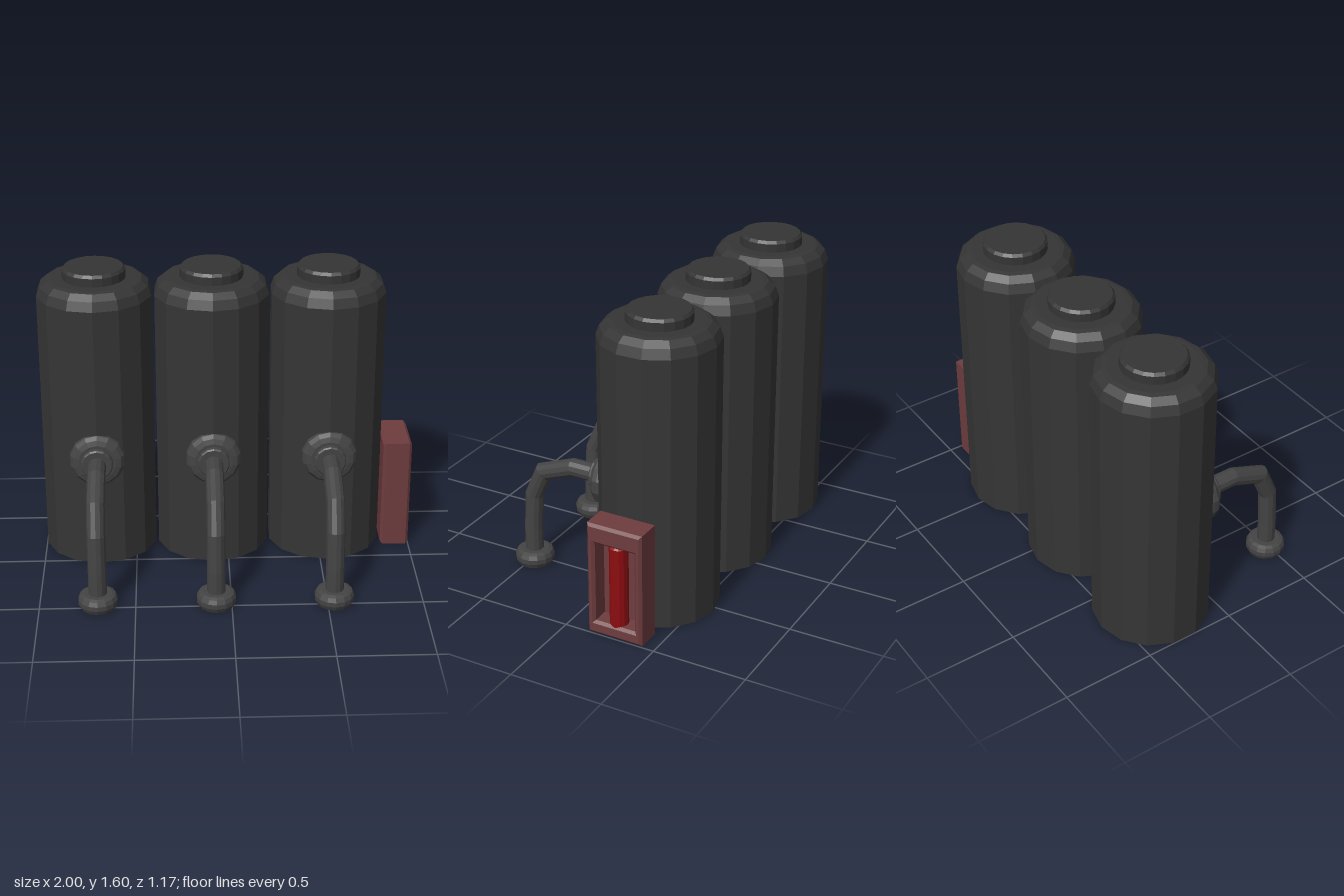
import * as THREE from 'three';

const mat = (color) => new THREE.MeshStandardMaterial({ color, flatShading: true, roughness: 0.8 });
const tankMat = mat(0x353535);
const pipeMat = mat(0x444444);
const boxMat = mat(0x6e3c3e);
const rodMat = mat(0x8c0d10);

function add(parent, name, geometry, material, x = 0, y = 0, z = 0) {
  const mesh = new THREE.Mesh(geometry, material);
  mesh.name = name;
  mesh.position.set(x, y, z);
  parent.add(mesh);
  return mesh;
}

// Turned solid from [radius, height] pairs, bottom to top
const lathe = (points, sides) =>
  new THREE.LatheGeometry(points.map(([r, h]) => new THREE.Vector2(r, h)), sides);

// Pipe with mitred bends along a path of [z, y] points in the x = 0 plane
function bentPipe(path, radius, sides) {
  const pts = path.map(([z, y]) => new THREE.Vector2(z, y));
  const positions = [];
  const indices = [];
  pts.forEach((p, i) => {
    const before = p.clone().sub(pts[Math.max(i - 1, 0)]).normalize();
    const after = pts[Math.min(i + 1, pts.length - 1)].clone().sub(p).normalize();
    const t = before.clone().add(after).normalize();
    const along = i === 0 ? after : before;
    const stretch = 1 / Math.max(t.dot(along), 0.5);
    for (let j = 0; j < sides; j++) {
      const a = (j / sides) * Math.PI * 2;
      const s = Math.sin(a) * radius * stretch;
      positions.push(Math.cos(a) * radius, p.y + t.x * s, p.x - t.y * s);
      if (i > 0) {
        const k = (j + 1) % sides;
        const lo = (i - 1) * sides;
        const hi = i * sides;
        indices.push(lo + j, lo + k, hi + j, lo + k, hi + k, hi + j);
      }
    }
  });
  const g = new THREE.BufferGeometry();
  g.setAttribute('position', new THREE.Float32BufferAttribute(positions, 3));
  g.setIndex(indices);
  g.computeVertexNormals();
  return g;
}

// One tank with its cap, wall flange, bent outlet pipe and foot
function makeTank() {
  const tank = new THREE.Group();
  const zc = -0.28;
  add(tank, 'tankBody', lathe([[0, 0], [0.308, 0], [0.308, 1.455], [0.29, 1.505], [0.255, 1.535], [0.23, 1.54], [0, 1.54]], 14), tankMat, 0, 0, zc);
  add(tank, 'tankCap', lathe([[0.167, 1.53], [0.167, 1.585], [0.155, 1.6], [0, 1.6]], 20), tankMat, 0, 0, zc);

  const flange = lathe([[0, -0.06], [0.14, -0.06], [0.148, 0.005], [0.145, 0.03], [0.128, 0.052], [0.1, 0.06], [0, 0.06]], 14);
  add(tank, 'wallFlange', flange.rotateX(Math.PI / 2), pipeMat, 0, 0.62, 0);
  const collar = lathe([[0.085, 0.05], [0.085, 0.085], [0.078, 0.092], [0, 0.092]], 14);
  add(tank, 'pipeCollar', collar.rotateX(Math.PI / 2), pipeMat, 0, 0.62, 0);

  add(tank, 'outletPipe', bentPipe([[0.06, 0.618], [0.225, 0.618], [0.405, 0.55], [0.468, 0.405], [0.48, 0.2], [0.48, 0.05]], 0.048, 12), pipeMat);
  add(tank, 'pipeFoot', lathe([[0, 0], [0.092, 0], [0.104, 0.025], [0.104, 0.05], [0.094, 0.072], [0.075, 0.08], [0, 0.08]], 14), pipeMat, 0, 0, 0.478);
  return tank;
}

// Rectangle outline centred on x = 0
function rectangle(target, halfWidth, bottom, top) {
  target.moveTo(-halfWidth, bottom);
  target.lineTo(halfWidth, bottom);
  target.lineTo(halfWidth, top);
  target.lineTo(-halfWidth, top);
  target.closePath();
  return target;
}

// Side box: bevelled frame, recessed panel and upright red rod
function makeSideBox() {
  const box = new THREE.Group();
  const bevel = 0.014;
  const shape = rectangle(new THREE.Shape(), 0.152, 0, 0.615);
  shape.holes.push(rectangle(new THREE.Path(), 0.111, 0.072, 0.51));
  const frame = new THREE.ExtrudeGeometry(shape, {
    depth: 0.155 - 2 * bevel, bevelEnabled: true, bevelSegments: 1,
    bevelSize: bevel, bevelThickness: bevel, bevelOffset: -bevel,
  });
  frame.rotateY(Math.PI / 2);
  add(box, 'boxFrame', frame, boxMat, 0.845 + bevel, 0, 0);
  add(box, 'boxBackPanel', new THREE.BoxGeometry(0.055, 0.464, 0.248), boxMat, 0.873, 0.291, 0);
  add(box, 'redRod', lathe([[0, 0.06], [0.048, 0.06], [0.048, 0.5], [0.04, 0.51], [0, 0.51]], 12), rodMat, 0.947, 0, 0);
  box.position.z = -0.28;
  return box;
}

export function createModel() {
  const model = new THREE.Group();
  model.name = 'tankRow';
  ['rightTank', 'middleTank', 'leftTank'].forEach((name, i) => {
    const tank = makeTank();
    tank.name = name;
    tank.position.x = -0.695 + i * 0.615;
    model.add(tank);
  });
  const sideBox = makeSideBox();
  sideBox.name = 'sideBox';
  model.add(sideBox);
  return model;
}
